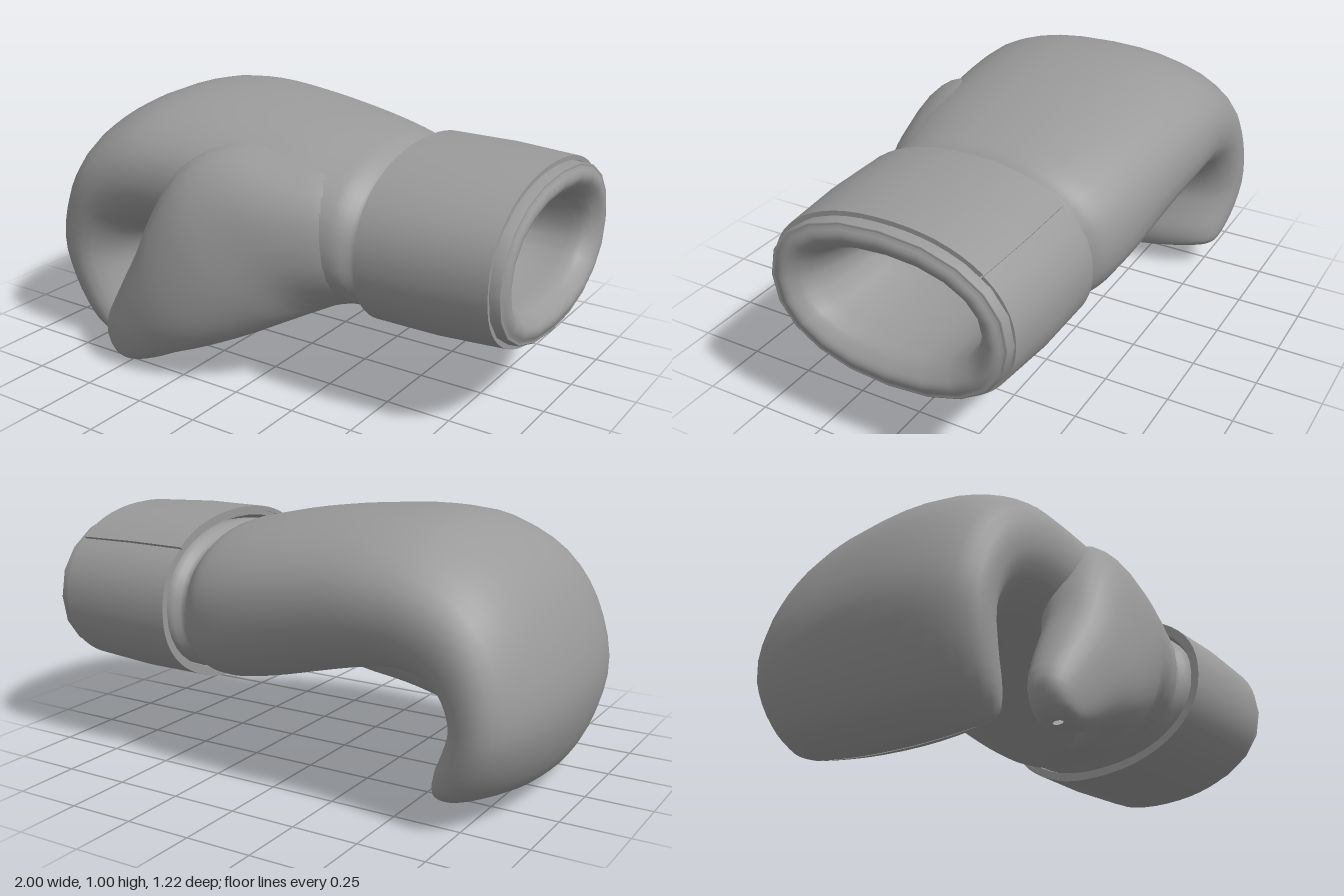
import * as THREE from 'three';
import { toCreasedNormals } from 'three/addons/utils/BufferGeometryUtils.js';

const material = new THREE.MeshStandardMaterial({ color: 0x9a9a9a, side: THREE.DoubleSide });
const power = (v, n) => Math.sign(v) * Math.abs(v) ** (2 / n);

// Smooth loft through sections [outer x, outer y, inner x, inner y, z min, z max],
// each a superellipse of exponent n.
function loft(sections, n, sides, steps = 3) {
  const spline = (i) => new THREE.SplineCurve(sections.map((s) => new THREE.Vector2(s[i], s[i + 1])));
  const [outer, inner, depth] = [spline(0), spline(2), spline(4)];
  const rows = (sections.length - 1) * steps;
  const position = [], index = [];
  for (let i = 0; i <= rows; i++) {
    const a = outer.getPoint(i / rows), b = inner.getPoint(i / rows), z = depth.getPoint(i / rows);
    for (let j = 0; j < sides; j++) {
      const t = (j / sides) * Math.PI * 2;
      const c = power(Math.cos(t), n), s = power(Math.sin(t), n);
      position.push(
        (a.x + b.x) / 2 + ((a.x - b.x) / 2) * c,
        (a.y + b.y) / 2 + ((a.y - b.y) / 2) * c,
        (z.x + z.y) / 2 + ((z.y - z.x) / 2) * s,
      );
      if (i < rows) {
        const p = i * sides + j, q = i * sides + ((j + 1) % sides);
        index.push(p, p + sides, q, q, p + sides, q + sides);
      }
    }
  }
  const geometry = new THREE.BufferGeometry();
  geometry.setAttribute('position', new THREE.Float32BufferAttribute(position, 3));
  geometry.setIndex(index);
  geometry.computeVertexNormals();
  return geometry;
}

// Oval ring upright at x, for the wrist parts
const oval = (x, halfY, halfZ, y = 0.59, z = -0.05) => [x, y + halfY, x, y - halfY, z - halfZ, z + halfZ];

// Curved band around the cuff between two angles (0 = top, growing toward +z)
function band(from, to, halfY, halfZ, thickness, x0, x1) {
  const steps = 40;
  const point = (i, grow) => {
    const t = from + ((to - from) * i) / steps;
    return new THREE.Vector2(
      0.05 - power(Math.sin(t), 2.2) * (halfZ + grow),
      0.59 + power(Math.cos(t), 2.2) * (halfY + grow),
    );
  };
  const points = [];
  for (let i = 0; i <= steps; i++) points.push(point(i, thickness));
  for (let i = steps; i >= 0; i--) points.push(point(i, 0));
  const geometry = new THREE.ExtrudeGeometry(new THREE.Shape(points), { depth: x1 - x0, steps: 2, bevelEnabled: false });
  geometry.rotateY(Math.PI / 2).translate(x0, 0, 0);
  // Taper slightly toward the open end
  const p = geometry.attributes.position;
  for (let i = 0; i < p.count; i++) {
    if (p.getX(i) < x1 - 0.01) continue;
    p.setY(i, 0.59 + (p.getY(i) - 0.59) * 0.96);
    p.setZ(i, -0.05 + (p.getZ(i) + 0.05) * 0.96);
  }
  return toCreasedNormals(geometry, 0.6);
}

// Raise the finger tips toward the back, so their edge runs at a slant
function slantTips(geometry) {
  const p = geometry.attributes.position;
  for (let i = 0; i < p.count; i++) {
    const y = p.getY(i), back = Math.max(0, (0.25 - p.getZ(i)) / 0.8);
    if (p.getX(i) < -0.5 && y < 0.35) p.setY(i, y + 0.1 * back * back * (1 - y / 0.35));
  }
  geometry.computeVertexNormals();
  return geometry;
}

export function createModel() {
  const group = new THREE.Group();
  const add = (name, geometry) => {
    const mesh = new THREE.Mesh(geometry, material);
    mesh.name = name;
    group.add(mesh);
  };

  // Padded hand, from the wrist over the knuckles to the curled finger tips
  add('hand', slantTips(loft([
    [0.55, 0.86, 0.55, 0.31, -0.48, 0.38],
    [0.47, 0.87, 0.47, 0.30, -0.49, 0.39],
    [0.42, 0.845, 0.42, 0.31, -0.455, 0.36],
    [0.36, 0.89, 0.36, 0.29, -0.51, 0.40],
    [0.27, 0.915, 0.26, 0.295, -0.545, 0.42],
    [0.1, 0.95, 0.1, 0.33, -0.57, 0.45],
    [-0.15, 0.985, -0.12, 0.39, -0.59, 0.46],
    [-0.4, 1.0, -0.33, 0.44, -0.61, 0.47],
    [-0.6, 0.975, -0.47, 0.45, -0.61, 0.485],
    [-0.8, 0.865, -0.57, 0.43, -0.61, 0.49],
    [-0.93, 0.69, -0.62, 0.385, -0.61, 0.485],
    [-1.0, 0.45, -0.635, 0.32, -0.61, 0.475],
    [-0.97, 0.25, -0.61, 0.22, -0.6, 0.46],
    [-0.89, 0.09, -0.585, 0.13, -0.58, 0.44],
    [-0.79, 0.02, -0.6, 0.05, -0.55, 0.41],
    [-0.74, 0.005, -0.66, 0.01, -0.48, 0.37],
    [-0.7, 0.0, -0.695, 0.0, -0.43, 0.33],
  ], 2.25, 36)));

  // Thumb, swelling gradually out of the side of the hand
  add('thumb', loft([
    [0.4, 0.82, 0.4, 0.33, -0.4, 0.34],
    [0.3, 0.89, 0.33, 0.3, -0.44, 0.41],
    [0.1, 0.915, 0.25, 0.29, -0.35, 0.475],
    [-0.12, 0.9, 0.15, 0.265, 0.02, 0.53],
    [-0.28, 0.82, 0.03, 0.21, 0.15, 0.58],
    [-0.385, 0.635, -0.08, 0.165, 0.25, 0.605],
    [-0.45, 0.47, -0.18, 0.125, 0.31, 0.61],
    [-0.53, 0.32, -0.28, 0.085, 0.35, 0.6],
    [-0.605, 0.16, -0.37, 0.045, 0.4, 0.585],
    [-0.575, 0.065, -0.45, 0.02, 0.43, 0.565],
    [-0.52, 0.03, -0.5, 0.025, 0.48, 0.52],
  ], 2.25, 32));

  // Wrist lining: blind hand opening, thick rounded lip, then the outside of the padding
  add('lining', loft([
    oval(0.55, 0.002, 0.002, 0.56, -0.065),
    oval(0.55, 0.1, 0.29, 0.56, -0.065),
    oval(0.6, 0.12, 0.3, 0.57, -0.06),
    oval(0.8, 0.16, 0.32, 0.58, -0.06),
    oval(0.93, 0.18, 0.335),
    oval(0.98, 0.215, 0.37),
    oval(1.0, 0.25, 0.405),
    oval(0.985, 0.285, 0.44),
    oval(0.94, 0.3, 0.46),
    oval(0.5, 0.305, 0.465),
  ], 2.2, 20));

  // Cuff, and the strap wrapped over it with a flap closing the back
  add('cuff', band(0, Math.PI * 2, 0.295, 0.45, 0.022, 0.465, 0.94));
  add('strap', band(-0.82, Math.PI + 0.46, 0.313, 0.468, 0.018, 0.46, 0.95));
  add('strapFlap', band(Math.PI + 0.475, Math.PI * 2 - 0.835, 0.312, 0.467, 0.015, 0.46, 0.95));
  return group;
}
